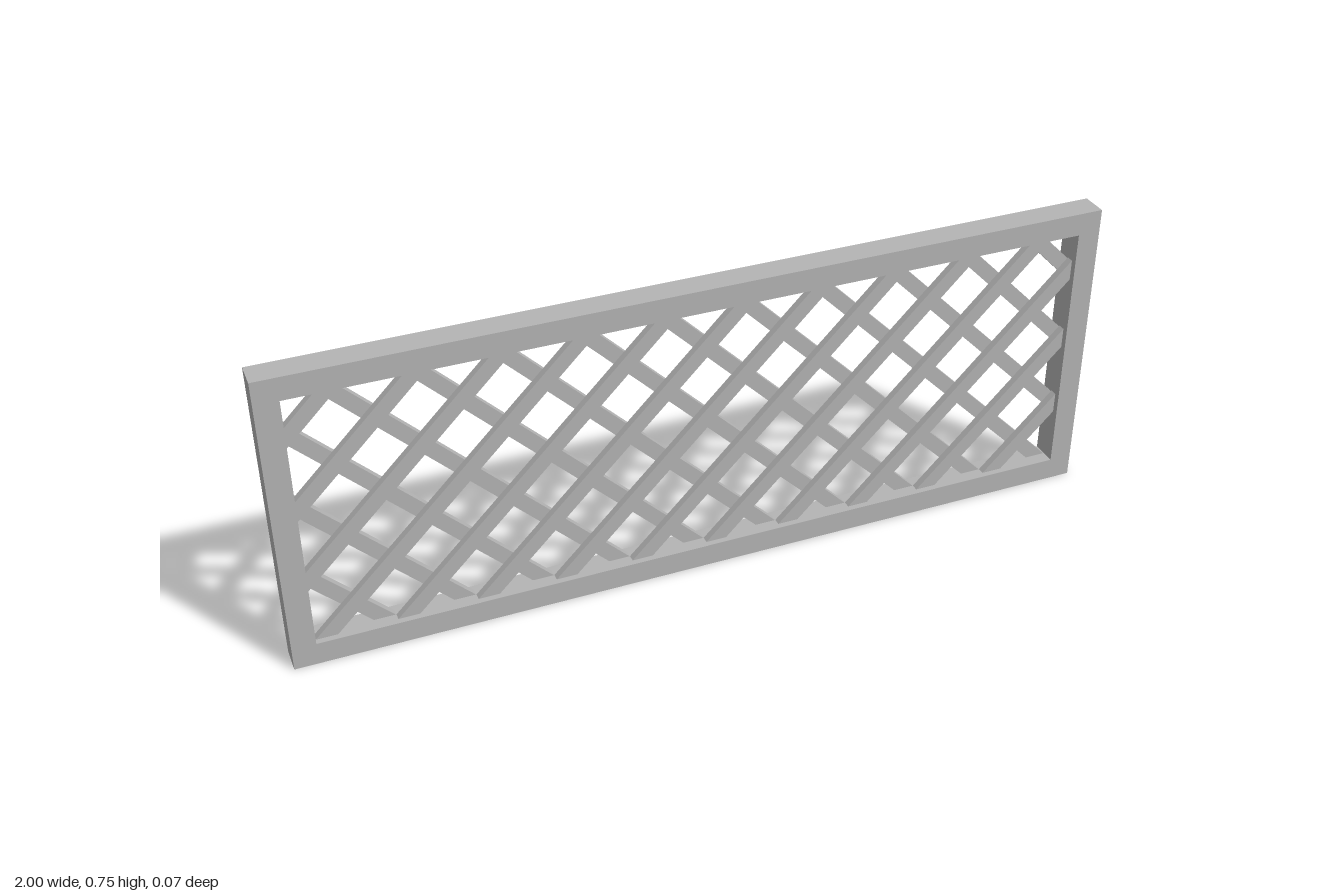
import * as THREE from 'three';

export function createModel() {
  const group = new THREE.Group();
  const grey = new THREE.MeshStandardMaterial({ color: 0xb4b4b4 });
  grey.name = 'light grey';

  const halfW = 1, height = 0.753, depth = 0.066, border = 0.056;

  // Outer frame with a rectangular opening
  const rect = (path, inset) => {
    const x = halfW - inset;
    path.moveTo(-x, inset);
    path.lineTo(x, inset);
    path.lineTo(x, height - inset);
    path.lineTo(-x, height - inset);
    path.closePath();
    return path;
  };
  const shape = rect(new THREE.Shape(), 0);
  shape.holes.push(rect(new THREE.Path(), border));
  const frameGeometry = new THREE.ExtrudeGeometry(shape, { depth, bevelEnabled: false });
  frameGeometry.translate(0, 0, -depth / 2);
  const frame = new THREE.Mesh(frameGeometry, grey);
  frame.name = 'frame';
  group.add(frame);

  // One layer of rising diagonal slats, with their ends set into the frame
  const pitch = 0.1885, slatWidth = 0.036, slatDepth = 0.018;
  const maxX = halfW - border / 2, minY = border / 2, maxY = height - border / 2;
  const slatLayer = (name) => {
    const layer = new THREE.Group();
    layer.name = name;
    for (let k = -4; k <= 8; k++) {
      const c = 0.03 + pitch * k; // slat centre line: y = x + c
      const x0 = Math.max(-maxX, minY - c);
      const x1 = Math.min(maxX, maxY - c);
      const slat = new THREE.Mesh(
        new THREE.BoxGeometry((x1 - x0) * Math.SQRT2, slatWidth, slatDepth), grey);
      slat.name = 'slat';
      slat.position.set((x0 + x1) / 2, (x0 + x1) / 2 + c, slatDepth / 2);
      slat.rotation.z = Math.PI / 4;
      layer.add(slat);
    }
    group.add(layer);
    return layer;
  };
  slatLayer('frontSlats');
  // The back layer is the same layer turned around, so it crosses the front one
  slatLayer('backSlats').rotation.y = Math.PI;

  return group;
}
